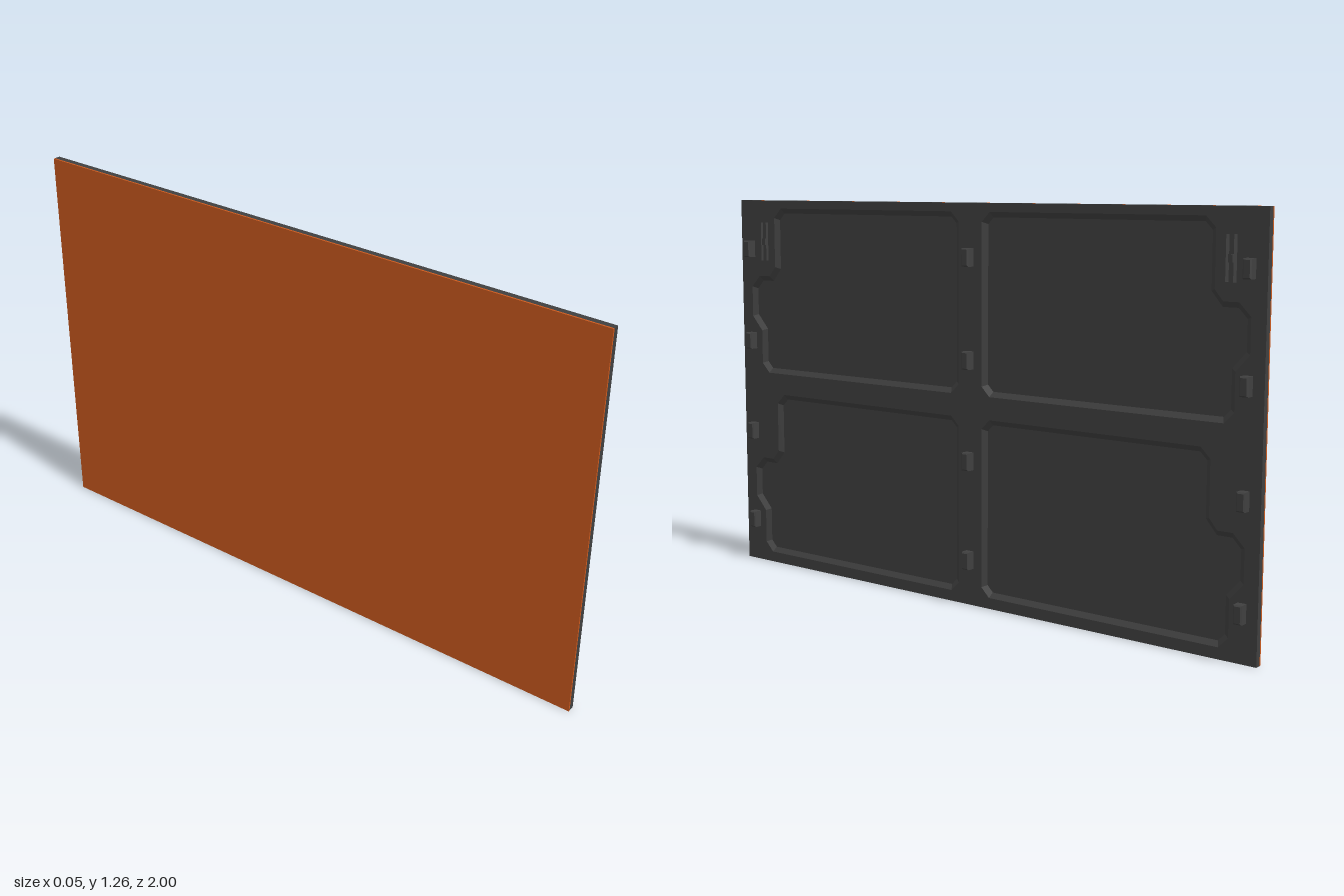
import * as THREE from 'three';

const dark = new THREE.MeshStandardMaterial({ color: 0x404040, flatShading: true });
const orange = new THREE.MeshStandardMaterial({ color: 0xcc5a1e, flatShading: true });

// Panel plane: u across, v up, w = outward thickness (turned to +x at the end)
const HALF = 1, TOP = 1.26;
const W_BACK = -0.0265, W_SKIN = -0.021, W_FLOOR = -0.014, W_FACE = -0.002, W_HOOK = 0.0265;

const vec = (pts) => pts.map(([u, v]) => new THREE.Vector2(u, v));
const rect = (u0, u1, v0, v1) => vec([[u0, v0], [u1, v0], [u1, v1], [u0, v1]]);

// Slab between two depths, with holes
function slab(outline, holes, w0, w1) {
  const shape = new THREE.Shape(outline);
  shape.holes = holes.map((h) => new THREE.Path(h));
  const g = new THREE.ExtrudeGeometry(shape, { depth: w1 - w0, bevelEnabled: false });
  return g.translate(0, 0, w0);
}

// Move every edge of a counter-clockwise outline inward by d
function inset(pts, d) {
  const n = pts.length;
  return pts.map((p, i) => {
    const a = p.clone().sub(pts[(i + n - 1) % n]).normalize();
    const b = pts[(i + 1) % n].clone().sub(p).normalize();
    const n1 = new THREE.Vector2(-a.y, a.x), n2 = new THREE.Vector2(-b.y, b.x);
    return n1.clone().add(n2).multiplyScalar(d / (1 + n1.dot(n2))).add(p);
  });
}

// Sloping wall from the recess rim down to its floor
function slope(rim, foot) {
  const pos = [];
  rim.forEach((p, i) => {
    const j = (i + 1) % rim.length;
    const a = [p.x, p.y, W_FACE], b = [rim[j].x, rim[j].y, W_FACE];
    const c = [foot[j].x, foot[j].y, W_FLOOR], d = [foot[i].x, foot[i].y, W_FLOOR];
    pos.push(...a, ...b, ...c, ...a, ...c, ...d);
  });
  const g = new THREE.BufferGeometry();
  g.setAttribute('position', new THREE.Float32BufferAttribute(pos, 3));
  g.computeVertexNormals();
  return g;
}

// Outline of one recess on the -u half, upper row
const RECESS = [
  [-0.81, 1.233], [-0.842, 1.201], [-0.842, 1.035], [-0.869, 1.003], [-0.917, 1.003],
  [-0.954, 0.965], [-0.954, 0.863], [-0.911, 0.815], [-0.911, 0.702], [-0.88, 0.67],
  [-0.075, 0.67], [-0.045, 0.70], [-0.045, 1.203], [-0.075, 1.233],
];

export function createModel() {
  const model = new THREE.Group();
  model.name = 'wallPanel';
  const body = new THREE.Group();
  body.name = 'panelBody';
  body.rotation.y = Math.PI / 2;
  model.add(body);
  const add = (name, geometry, material = dark) => {
    const m = new THREE.Mesh(geometry, material);
    m.name = name;
    body.add(m);
    return m;
  };

  const recesses = [], slots = [];
  for (const s of [1, -1]) {
    for (const drop of [0, 0.635]) {
      const pts = vec(RECESS.map(([u, v]) => [u * s, v - drop]));
      recesses.push(s > 0 ? pts : pts.reverse());
    }
    // Pair of narrow slots beside each release tongue
    for (const c of [0.902, 0.878]) slots.push(rect(-c * s - 0.005, -c * s + 0.005, 1.056, 1.185));
  }
  const outline = rect(-HALF, HALF, 0, TOP);

  // Coloured skin, core and raised frame
  add('outerSkin', slab(outline, [], W_BACK, W_SKIN), orange);
  add('core', slab(outline, slots, W_SKIN, W_FLOOR));
  add('frame', slab(outline, [...recesses, ...slots], W_FLOOR, W_FACE));
  for (const r of recesses) add('recessWall', slope(r, inset(r, 0.016)));

  // Small catch on each tongue
  for (const s of [1, -1]) {
    const g = new THREE.BoxGeometry(0.014, 0.022, 0.008);
    add('tongueCatch', g).position.set(s * 0.89, 1.12, 0);
  }

  // Mounting clips: bevelled blocks in three columns of four
  const bevel = 0.004, hu = 0.0135 - bevel, hv = 0.028 - bevel;
  const clip = new THREE.ExtrudeGeometry(new THREE.Shape(rect(-hu, hu, -hv, hv)), {
    depth: W_HOOK - W_FACE - bevel, bevelSize: bevel, bevelThickness: bevel, bevelSegments: 1,
  }).translate(0, 0, W_FACE);
  for (const u of [-0.951, 0, 0.951]) {
    for (const v of [0.147, 0.463, 0.779, 1.095]) add('clip', clip).position.set(u, v, 0);
  }
  return model;
}
